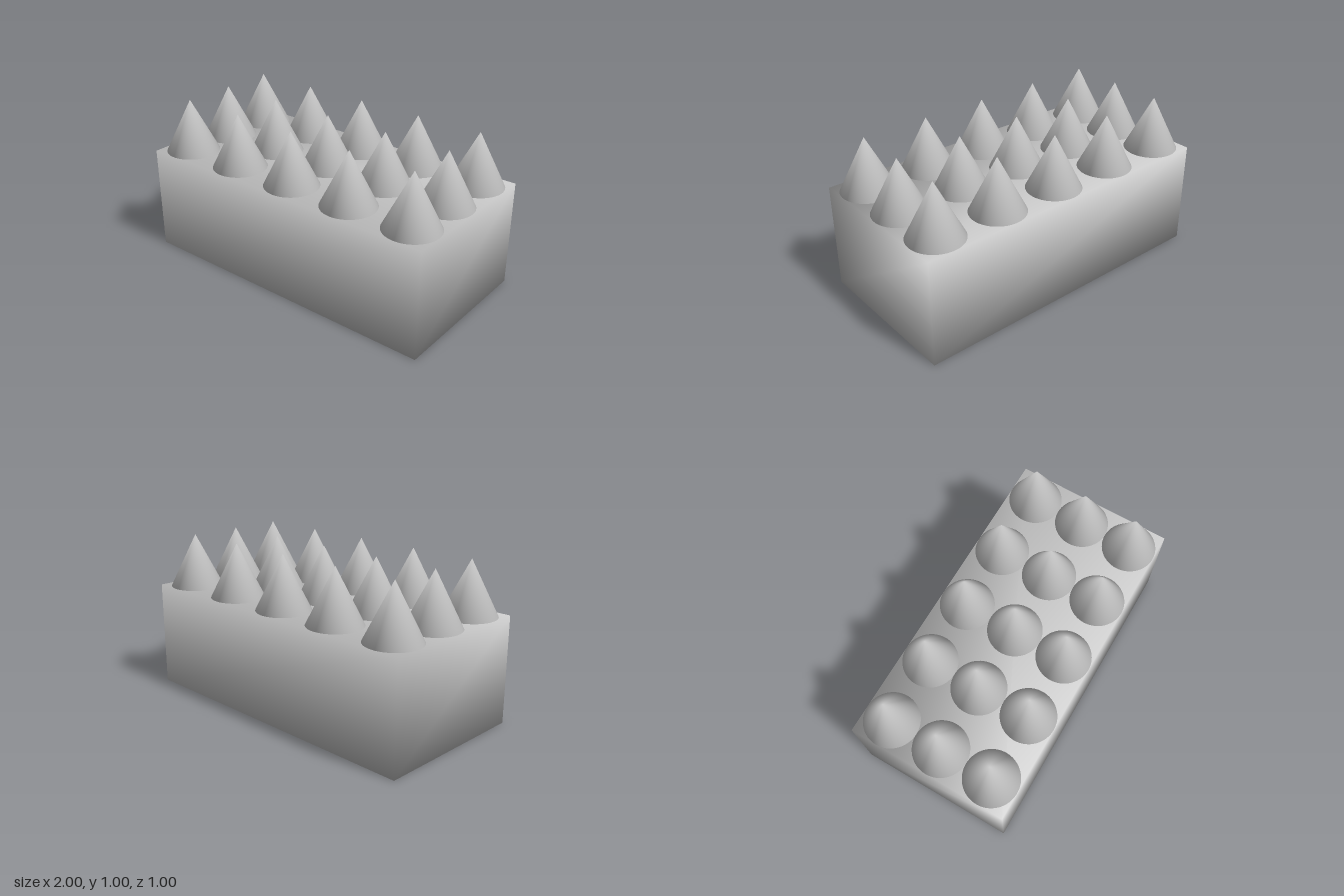
import * as THREE from 'three';
import { mergeVertices } from 'three/addons/utils/BufferGeometryUtils.js';

const material = new THREE.MeshStandardMaterial({ color: 0xcccccc });

// Welds all corners so the shading runs smoothly across every edge
function weld(geometry) {
  geometry.deleteAttribute('normal');
  geometry.deleteAttribute('uv');
  const welded = mergeVertices(geometry, 1e-5);
  welded.computeVertexNormals();
  return welded;
}

export function createModel() {
  const model = new THREE.Group();
  model.name = 'spikedBlock';

  const bodyHeight = 2 / 3;
  const radius = 1 / 6;
  const spikeHeight = 1 / 3;

  // Solid block
  const body = new THREE.Mesh(weld(new THREE.BoxGeometry(2, bodyHeight, 1)), material);
  body.name = 'block';
  body.position.y = bodyHeight / 2;
  model.add(body);

  // Five by three grid of spikes, reaching the edges of the block
  const spikes = new THREE.Group();
  spikes.name = 'spikes';
  const spikeGeometry = weld(new THREE.ConeGeometry(radius, spikeHeight, 64));
  for (let column = -2; column <= 2; column++) {
    for (let row = -1; row <= 1; row++) {
      const spike = new THREE.Mesh(spikeGeometry, material);
      spike.name = 'spike';
      spike.position.set(column * (1 - radius) / 2, bodyHeight + spikeHeight / 2, row * 2 * radius);
      spikes.add(spike);
    }
  }
  model.add(spikes);

  return model;
}
